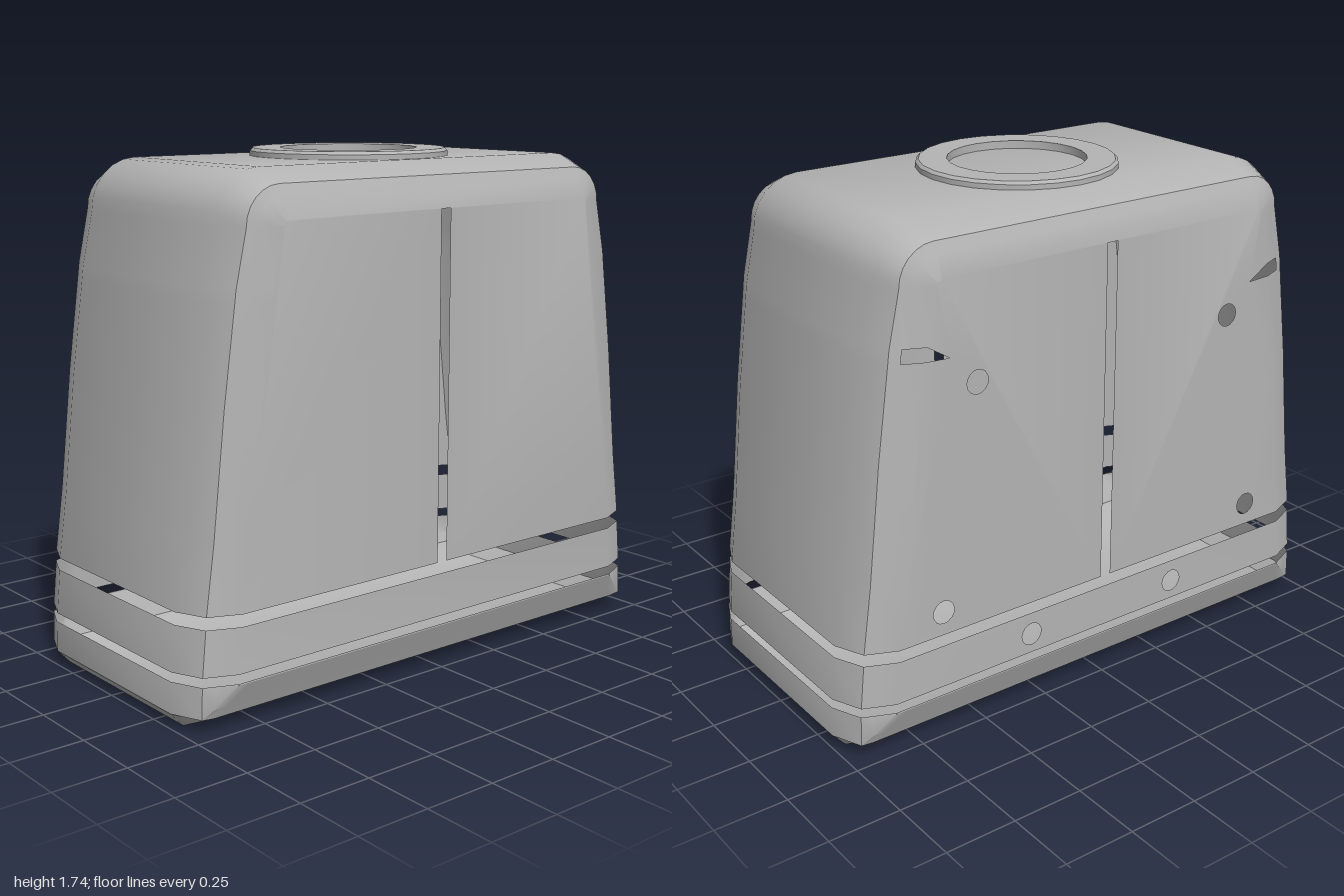
import * as THREE from 'three';
import { mergeGeometries, toCreasedNormals } from 'three/addons/utils/BufferGeometryUtils.js';

// Bevel layers from back to front: [z, inset of the outline]
const LAYERS = [[-0.5, 0.15], [-0.47, 0.08], [-0.455, 0.045], [-0.35, 0], [0.35, 0], [0.455, 0.045], [0.47, 0.08], [0.5, 0.15]];
const ARC = { x: 0.64, y: 1.54, r: 0.17 };
const NOTCH = [1.315, 1.36];

// Pull an outline point inward: radially on the rounded shoulder, sideways below it
function inset([x, y], d) {
  const s = Math.sign(x), ax = Math.abs(x);
  if (y > ARC.y) {
    const k = 1 - d / ARC.r;
    return [s * (ARC.x + (ax - ARC.x) * k), ARC.y + (y - ARC.y) * k];
  }
  return [s * (ax - d), Math.max(y, d)];
}

const mirror = (pts) => pts.map(([x, y]) => [-x, y]).reverse();

function soup(positions) {
  const g = new THREE.BufferGeometry();
  g.setAttribute('position', new THREE.Float32BufferAttribute(positions, 3));
  return g;
}

// Side wall and bevels along an outline; skip(i, layer) leaves a panel open
function wall(pts, skip = () => false) {
  const out = [];
  for (let l = 0; l < LAYERS.length - 1; l++) {
    for (let i = 0; i < pts.length - 1; i++) {
      if (skip(pts[i], pts[i + 1], l)) continue;
      const at = (p, [z, d]) => [...inset(p, d), z];
      const a = at(pts[i], LAYERS[l]), b = at(pts[i + 1], LAYERS[l]);
      const c = at(pts[i + 1], LAYERS[l + 1]), d = at(pts[i], LAYERS[l + 1]);
      out.push(...a, ...b, ...c, ...a, ...c, ...d);
    }
  }
  return soup(out);
}

// Flat front (side 1) or back (side -1) panel with round holes
function panel(pts, side, holes = []) {
  const shape = new THREE.Shape(pts.map(([x, y]) => new THREE.Vector2(x, y)));
  for (const [x, y] of holes) shape.holes.push(new THREE.Path().absarc(x, y, 0.04, 0, Math.PI * 2, true));
  const p = new THREE.ShapeGeometry(shape, 8).toNonIndexed().attributes.position;
  const out = [];
  for (let i = 0; i < p.count; i += 3) {
    for (const j of side > 0 ? [0, 1, 2] : [0, 2, 1]) out.push(p.getX(i + j), p.getY(i + j), 0.5 * side);
  }
  return soup(out);
}

export function createModel() {
  const grey = new THREE.MeshStandardMaterial({ color: 0xb4b4b4, side: THREE.DoubleSide });
  grey.name = 'grey plastic';
  const model = new THREE.Group();
  const add = (name, parts) => {
    const mesh = new THREE.Mesh(toCreasedNormals(mergeGeometries(parts), 0.6), grey);
    mesh.name = name;
    model.add(mesh);
  };
  const face = (pts) => pts.map((p) => inset(p, 0.15));

  // Hollow upper cover, split by a slit in front and back
  const right = [[0.977, 0.375], [0.945, 0.6], [0.9, 1], [0.856, NOTCH[0]], [0.85, NOTCH[1]]];
  for (let i = 0; i <= 6; i++) {
    const a = (i / 6) * Math.PI / 2;
    right.push([ARC.x + ARC.r * Math.cos(a), ARC.y + ARC.r * Math.sin(a)]);
  }
  const isNotch = (p, q, l) => l === 0 && [p[1], q[1]].every((y) => NOTCH.includes(y));
  const parts = [wall([...right, ...mirror(right)], isNotch)];
  for (const side of [1, -1]) {
    for (const s of [1, -1]) {
      const edge = s > 0 ? 0.015 : 0.025;
      const half = face(right);
      // wedge-shaped vent slots and screw holes at the back
      if (side < 0) half.splice(4, 0, [0.62, 1.31]);
      const pts = [[edge, 0.375], ...half, [edge, 1.56]].map(([x, y]) => [s * x, y]);
      parts.push(panel(pts, side, side < 0 ? [[s * 0.52, 1.21], [s * 0.66, 0.457]] : []));
    }
  }
  add('upperCover', parts);

  // Middle band with two round holes at the back
  const band = [[0.995, 0.185], [0.98, 0.335]];
  const bandFace = face([...band, ...mirror(band)]);
  add('middleBand', [
    wall(band), wall(mirror(band)),
    panel(bandFace, 1), panel(bandFace, -1, [[0.31, 0.255], [-0.31, 0.255]]),
  ]);

  // Base tray with bevelled floor
  const base = [[0.955, 0], [1, 0.05], [0.997, 0.155]];
  const tray = [...mirror(base), ...base];
  const lip = [[-0.847, 0.15], [0.847, 0.15], [0.847, 0.155], [-0.847, 0.155]];
  add('baseTray', [wall(tray), panel(lip, 1), panel(lip, -1)]);

  // Raised ring on top
  const ring = [[0.34, 1.705], [0.34, 1.727], [0.33, 1.737], [0.235, 1.737], [0.235, 1.705]];
  add('topRing', [new THREE.LatheGeometry(ring.map(([x, y]) => new THREE.Vector2(x, y)), 24).toNonIndexed()]);

  return model;
}
